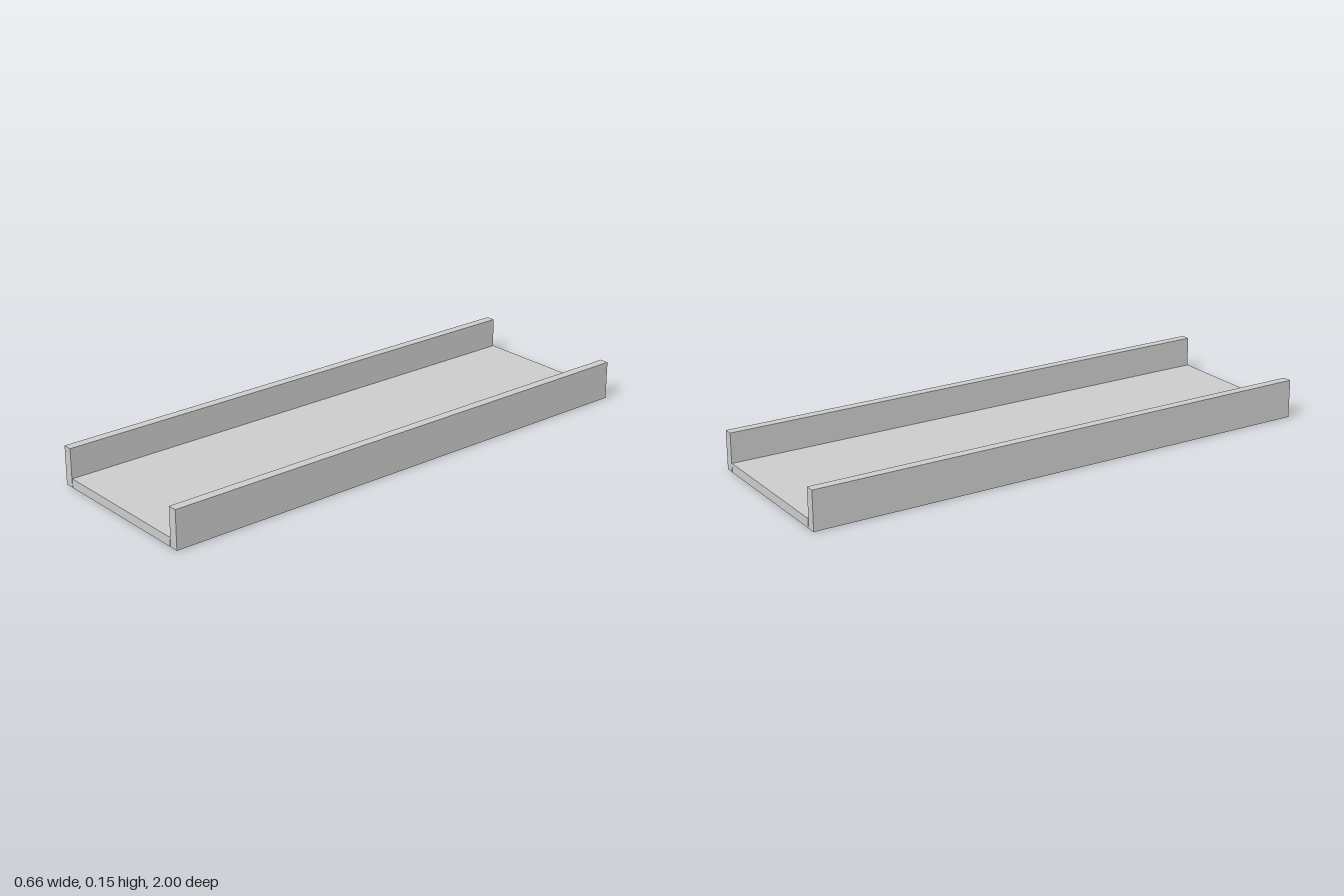
import * as THREE from 'three';

const LENGTH = 2;
const BASE_WIDTH = 0.581, BASE_HEIGHT = 0.034;
const WALL_OUTER = 0.328, WALL_THICKNESS = 0.035, WALL_HEIGHT = 0.146;

export function createModel() {
  const group = new THREE.Group();
  group.name = 'channelTray';
  const material = new THREE.MeshStandardMaterial({ color: 0xcccccc });

  // Box standing on the ground and running the full length
  const addBoard = (name, width, height, x) => {
    const mesh = new THREE.Mesh(new THREE.BoxGeometry(width, height, LENGTH), material);
    mesh.name = name;
    mesh.position.set(x, height / 2, 0);
    group.add(mesh);
  };

  // Flat floor, with a hairline gap to each wall
  addBoard('basePanel', BASE_WIDTH, BASE_HEIGHT, 0);

  // Mirrored upright side walls
  for (const [name, side] of [['leftWall', 1], ['rightWall', -1]]) {
    addBoard(name, WALL_THICKNESS, WALL_HEIGHT, side * (WALL_OUTER - WALL_THICKNESS / 2));
  }

  return group;
}
